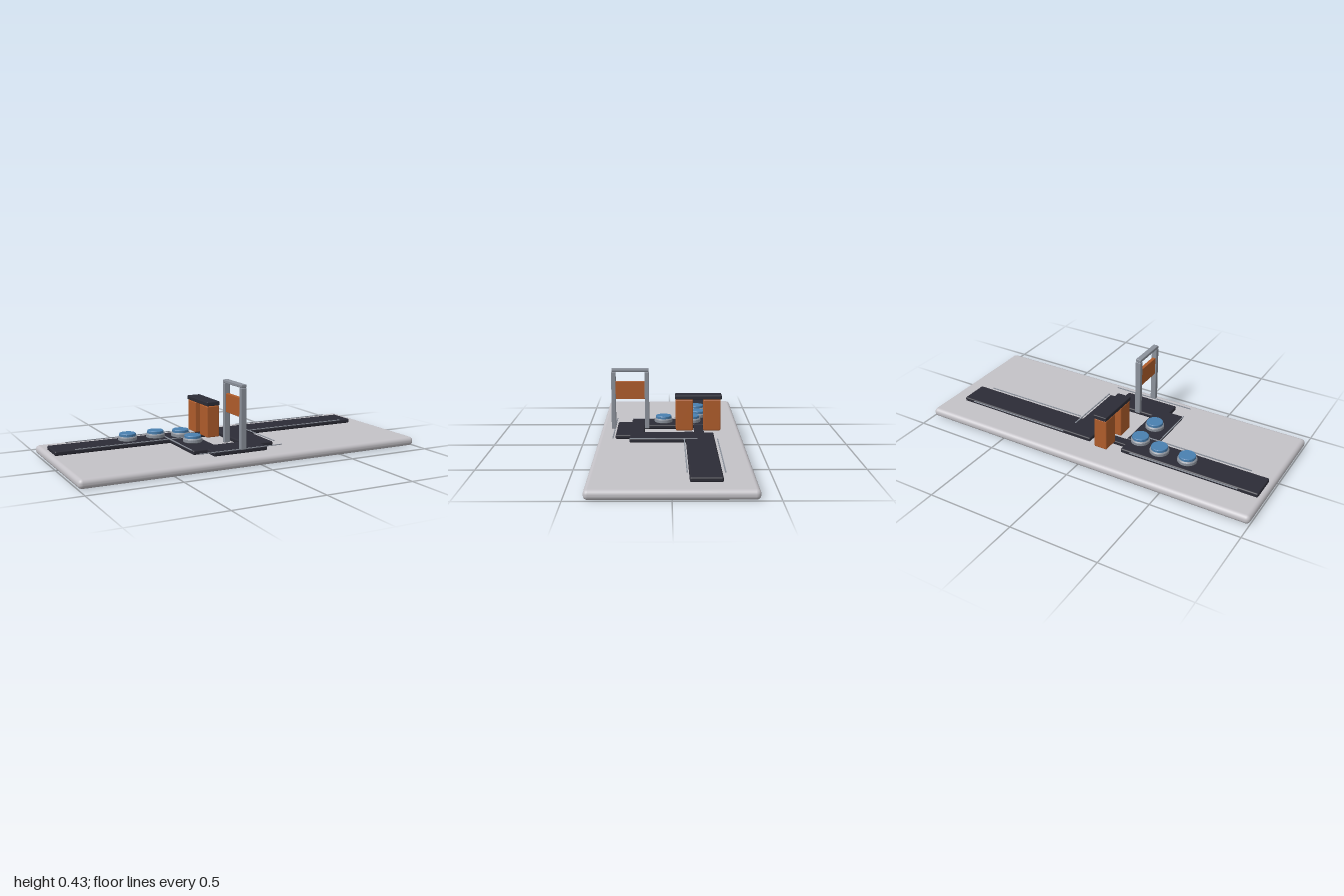
import * as THREE from 'three';
import { RoundedBoxGeometry } from 'three/addons/geometries/RoundedBoxGeometry.js';

const material = (name, color) => {
  const m = new THREE.MeshStandardMaterial({ color });
  m.name = name;
  return m;
};

export function createModel() {
  const stone = material('pale stone', 0xc4c2c7);
  const dark = material('charcoal', 0x2c2c36);
  const metal = material('steel grey', 0x8b919b);
  const orange = material('burnt orange', 0xaf5c2b);
  const blue = material('blue', 0x4a80b0);

  const model = new THREE.Group();
  model.name = 'trackBoard';

  const add = (name, geometry, mat, parent = model) => {
    const mesh = new THREE.Mesh(geometry, mat);
    mesh.name = name;
    parent.add(mesh);
    return mesh;
  };
  const group = (name) => {
    const g = new THREE.Group();
    g.name = name;
    model.add(g);
    return g;
  };
  // Rounded box given by its limits on each axis
  const block = (name, [x0, x1], [y0, y1], [z0, z1], r, mat, parent) => {
    const geometry = new RoundedBoxGeometry(x1 - x0, y1 - y0, z1 - z0, 3, r);
    geometry.translate((x0 + x1) / 2, (y0 + y1) / 2, (z0 + z1) / 2);
    return add(name, geometry, mat, parent);
  };

  // Base board
  block('base', [-1, 1], [0, 0.05], [-0.405, 0.405], 0.023, stone);

  // Track: two long arms joined by a U-shaped detour and a narrow shortcut
  const track = group('track');
  const trackY = [0.053, 0.078];
  const slabs = [
    ['rightArm', [-0.975, -0.18], [-0.241, -0.083]],
    ['leftArm', [0.015, 0.89], [-0.241, -0.083]],
    ['rightBend', [-0.323, -0.16], [-0.135, 0.227]],
    ['leftBend', [0, 0.16], [-0.135, 0.227]],
    ['frontBend', [-0.24, 0.08], [0.147, 0.307]],
  ];
  for (const [name, x, z] of slabs) block(name, x, trackY, z, 0.008, dark, track);
  block('shortcut', [-0.2, 0.03], [0.053, 0.075], [-0.19, -0.135], 0.006, dark, track);

  // Thin rails along the track edges
  const rails = group('rails');
  const rail = (x, z) => {
    const geometry = new THREE.BoxGeometry(x[1] - x[0], 0.004, z[1] - z[0]);
    geometry.translate((x[0] + x[1]) / 2, 0.08, (z[0] + z[1]) / 2);
    add('rail', geometry, metal, rails);
  };
  const around = (c) => [c - 0.003, c + 0.003];
  for (const z of [-0.255, -0.073]) {
    rail([-0.87, -0.245], around(z));
    rail([0.18, 0.81], around(z));
  }
  for (const x of [-0.329, 0.168]) rail(around(x), [-0.147, 0.225]);
  rail([-0.327, 0.163], around(0.317));

  // Round markers: bevelled grey foot with a blue cap
  const footProfile = [[0, 0.08], [0.05, 0.08], [0.053, 0.083], [0.053, 0.098], [0.047, 0.104], [0, 0.104]];
  const capProfile = [[0, 0.103], [0.046, 0.103], [0.046, 0.116], [0.044, 0.119], [0, 0.119]];
  const lathe = (profile) => {
    // Each profile segment gets its own vertices so that edges stay crisp
    const points = profile.map(([r, y]) => new THREE.Vector2(r, y));
    const geometry = new THREE.LatheGeometry(points, 32).toNonIndexed();
    geometry.computeVertexNormals();
    return geometry;
  };
  for (const [x, z] of [[-0.543, -0.163], [-0.377, -0.163], [-0.24, -0.125], [-0.24, 0.04]]) {
    const marker = group('marker');
    add('markerFoot', lathe(footProfile), metal, marker);
    add('markerCap', lathe(capProfile), blue, marker);
    marker.position.set(x, 0, z);
  }

  // Gate: two thick pillars carrying a dark lintel
  const gate = group('gate');
  for (const z of [[-0.128, -0.03], [-0.285, -0.187]]) {
    block('pillar', [-0.118, -0.042], [0.073, 0.252], z, 0.006, orange, gate);
  }
  block('lintel', [-0.12, -0.04], [0.253, 0.277], [-0.291, -0.026], 0.005, dark, gate);

  // Sign frame: slim posts, top bar and hanging panel
  const frame = group('signFrame');
  for (const z of [[0.312, 0.337], [0.122, 0.147]]) {
    block('post', [-0.097, -0.065], [0.08, 0.408], z, 0.003, metal, frame);
  }
  block('topBar', [-0.097, -0.065], [0.409, 0.427], [0.124, 0.335], 0.004, metal, frame);
  block('panel', [-0.091, -0.071], [0.251, 0.353], [0.146, 0.313], 0.002, orange, frame);

  return model;
}
